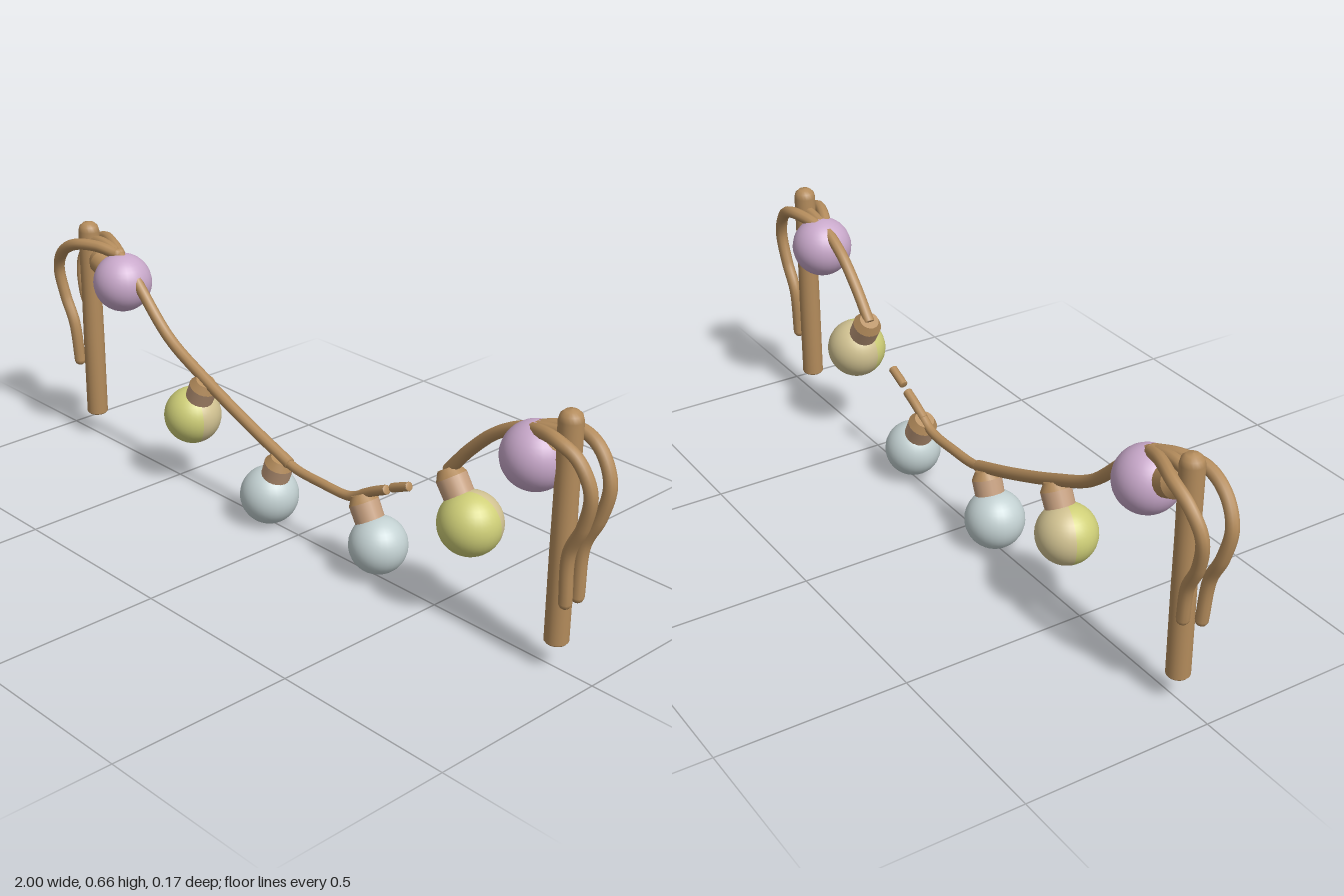
import * as THREE from 'three';

const mat = (name, color, side = THREE.FrontSide) => {
  const m = new THREE.MeshStandardMaterial({ color });
  m.name = name;
  m.side = side;
  return m;
};

export function createModel() {
  const group = new THREE.Group();
  const wood = mat('wood brown', 0xb48c5c);
  const tan = mat('socket tan', 0xc49e7e);
  const pink = mat('bulb lilac', 0xc9a9cb);
  const lime = mat('bulb lime', 0xcfcf78);
  const sand = mat('bulb sand', 0xd2c392);
  const ice = mat('bulb pale blue', 0xc3d1d2);

  const add = (name, geometry, material) => {
    const mesh = new THREE.Mesh(geometry, material);
    mesh.name = name;
    group.add(mesh);
    return mesh;
  };
  const vec = (p) => new THREE.Vector3(p[0], p[1], p[2] || 0);

  // rope with flat or rounded ends
  const rope = (name, pts, r, roundEnd = false) => {
    const points = pts.map(vec);
    const curve = new THREE.CatmullRomCurve3(points, false, 'centripetal');
    add(name, new THREE.TubeGeometry(curve, pts.length * 7, r, 10), wood);
    [0, 1].forEach((t) => {
      const cap = add(name + 'End', new THREE.SphereGeometry(r, 10, 8), wood);
      cap.position.copy(curve.getPoint(t));
      if (!roundEnd) {
        cap.scale.y = 0.2;
        cap.quaternion.setFromUnitVectors(new THREE.Vector3(0, 1, 0), curve.getTangent(t));
      }
    });
  };

  // cylinder between two points
  const rod = (name, a, b, ra, rb, material) => {
    const dir = b.clone().sub(a);
    const mesh = add(name, new THREE.CylinderGeometry(rb, ra, dir.length(), 20), material);
    mesh.position.copy(a).add(b).multiplyScalar(0.5);
    mesh.quaternion.setFromUnitVectors(new THREE.Vector3(0, 1, 0), dir.normalize());
  };

  // posts with domed tops
  const postProfile = [[0, 0.07], [0.026, 0.07], [0.03, 0.075], [0.03, 0.3], [0.029, 0.45],
    [0.03, 0.635], [0.026, 0.65], [0.016, 0.659], [0, 0.662]].map((p) => new THREE.Vector2(p[0], p[1]));
  [['rightPost', -0.886], ['leftPost', 0.888]].forEach(([name, x]) => {
    add(name, new THREE.LatheGeometry(postProfile, 20), wood).position.x = x;
  });

  // sagging cord, broken toward the left side
  rope('longCord', [[-0.88, 0.605], [-0.83, 0.615], [-0.77, 0.605], [-0.7, 0.57], [-0.65, 0.52],
    [-0.53, 0.41], [-0.38, 0.335], [-0.2, 0.26], [-0.035, 0.2]], 0.016);
  rope('lowCord', [[-0.05, 0.203], [0, 0.192], [0.08, 0.188], [0.195, 0.19], [0.25, 0.217]], 0.013);
  rope('cordStub', [[0.24, 0.213], [0.28, 0.235], [0.325, 0.256]], 0.013);
  rope('loosePiece', [[0.345, 0.269], [0.375, 0.282], [0.402, 0.293]], 0.012);
  rope('shortCord', [[0.53, 0.385], [0.6, 0.465], [0.68, 0.535], [0.78, 0.582], [0.89, 0.6]], 0.016);

  // paired loose ends hanging over each post
  [-1, 1].forEach((s) => {
    const low = s > 0 ? 0.235 : 0.26;
    rope('rightLooseEnd', [[-0.75, 0.6, s * 0.004], [-0.81, 0.612, s * 0.025], [-0.88, 0.607, s * 0.049],
      [-0.945, 0.572, s * 0.05], [-0.983, 0.51, s * 0.042], [-0.97, 0.425, s * 0.034],
      [-0.935, 0.35, s * 0.032], [-0.922, low, s * 0.028]], 0.0165, true);
    rope('leftLooseEnd', [[0.77, 0.577, s * 0.004], [0.83, 0.595, s * 0.027], [0.89, 0.597, s * 0.043],
      [0.945, 0.57, s * 0.04], [0.982, 0.5, s * 0.034], [0.965, 0.41, s * 0.029],
      [0.928, 0.33, s * 0.026], [0.923, 0.197, s * 0.022]], 0.0165, true);
  });

  // bulbs: socket top, bulb centre, radius, colour, turn of the two-colour split
  [
    [[-0.85, 0.57], [-0.735, 0.52], 0.083, pink],
    [[-0.375, 0.33], [-0.435, 0.21], 0.08, lime, -0.3],
    [[-0.068, 0.205], [-0.115, 0.081], 0.08, ice],
    [[0.235, 0.212], [0.3, 0.092], 0.077, ice],
    [[0.528, 0.39], [0.607, 0.272], 0.082, lime, 0.3],
    [[0.85, 0.575], [0.794, 0.517], 0.084, pink],
  ].forEach(([top, centre, r, material, turn]) => {
    const a = vec(top), b = vec(centre);
    const neck = a.clone().lerp(b, 0.16);
    rod('socketCap', neck, a, 0.04, 0.027, wood);
    rod('socket', b, neck, 0.038, 0.04, material === pink ? wood : tan);
    if (turn === undefined) {
      add('bulb', new THREE.SphereGeometry(r, 28, 20), material).position.copy(b);
    } else {
      // front half lime, back half sand
      [['bulbFront', lime, 0], ['bulbBack', sand, Math.PI]].forEach(([name, m, start]) => {
        const half = add(name, new THREE.SphereGeometry(r, 16, 20, start, Math.PI), m);
        half.position.copy(b);
        half.rotation.y = turn;
      });
    }
  });

  return group;
}
